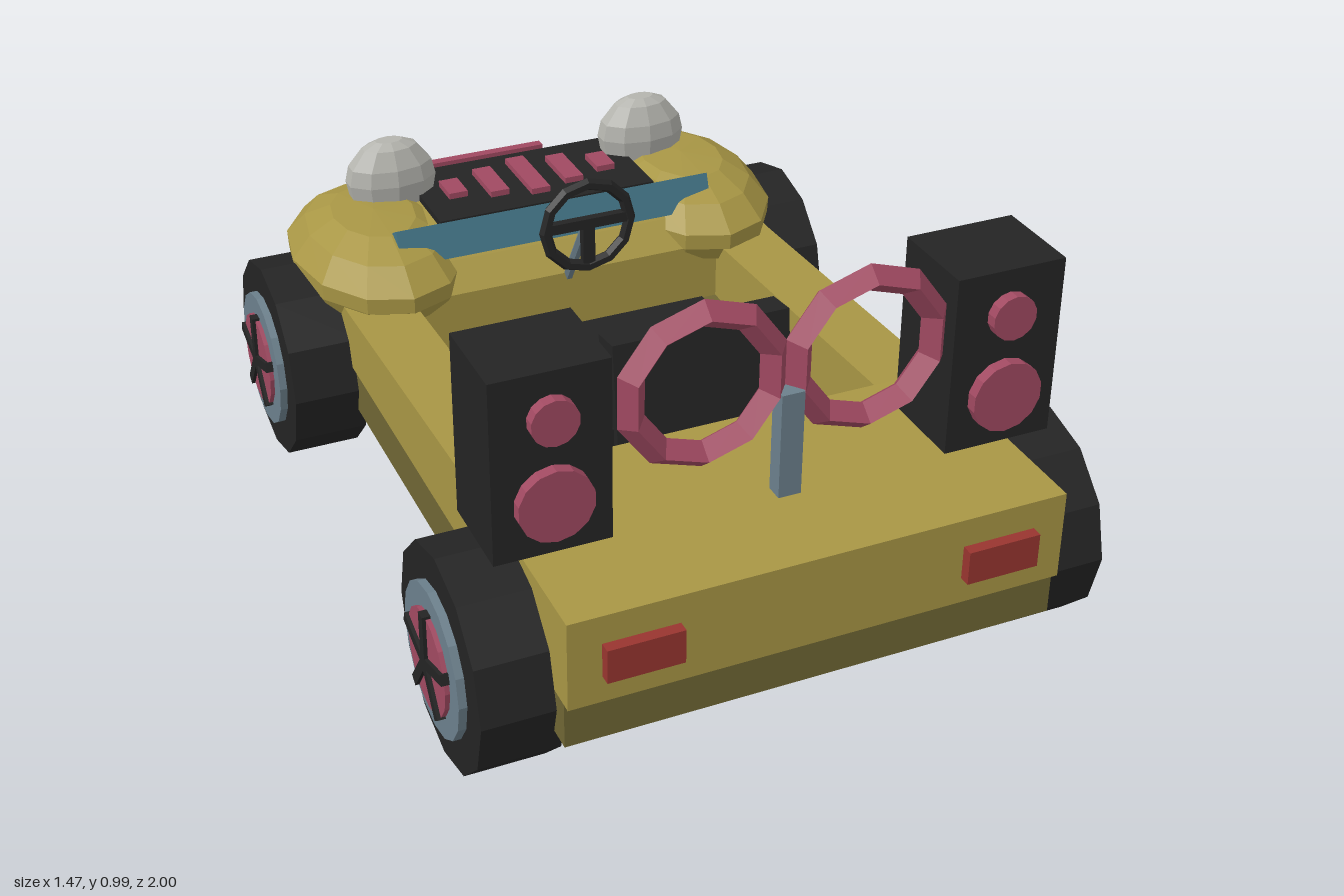
import * as THREE from 'three';

const mat = (name, color) => {
  const m = new THREE.MeshStandardMaterial({ color, flatShading: true });
  m.name = name;
  return m;
};

export function createModel() {
  const M = {
    body: mat('mustard paint', 0xa89645),
    olive: mat('dark olive', 0x6f6634),
    black: mat('black', 0x242424),
    pink: mat('rose pink', 0xa04961),
    slate: mat('slate metal', 0x6c808c),
    teal: mat('teal', 0x447688),
    grey: mat('light grey', 0xb4b4ae),
    red: mat('tail red', 0x98352f),
    green: mat('lamp green', 0x48941e),
  };
  const car = new THREE.Group();
  car.name = 'buggy';

  const add = (name, geo, m, x = 0, y = 0, z = 0, parent = car) => {
    const mesh = new THREE.Mesh(geo, m);
    mesh.name = name;
    mesh.position.set(x, y, z);
    parent.add(mesh);
    return mesh;
  };
  // box given by its limits on each axis
  const box = (name, m, x0, x1, y0, y1, z0, z1) =>
    add(name, new THREE.BoxGeometry(x1 - x0, y1 - y0, z1 - z0), m,
      (x0 + x1) / 2, (y0 + y1) / 2, (z0 + z1) / 2);
  // side profile of [z, y] points, extruded from x0 to x1
  const prism = (name, m, pts, x0, x1) => {
    const shape = new THREE.Shape(pts.map(p => new THREE.Vector2(p[0], p[1])));
    const geo = new THREE.ExtrudeGeometry(shape, { depth: x1 - x0, bevelEnabled: false });
    geo.rotateY(-Math.PI / 2);
    return add(name, geo, m, x1);
  };

  // chassis and body shell
  box('chassis', M.olive, -0.545, 0.545, 0.18, 0.3, -0.88, 0.955);
  box('rearDeck', M.body, -0.545, 0.545, 0.285, 0.488, 0.45, 0.975);
  prism('nose', M.body, [[-0.36, 0.295], [-0.36, 0.45], [-0.42, 0.51], [-0.49, 0.565],
    [-0.78, 0.565], [-0.93, 0.455], [-0.972, 0.295]], -0.42, 0.42);
  for (const s of [-1, 1]) {
    const [a, b] = s < 0 ? [-0.552, -0.395] : [0.395, 0.552];
    prism('sideRail', M.body, [[0.46, 0.3], [0.46, 0.485], [-0.38, 0.447], [-0.87, 0.445], [-0.87, 0.3]], a, b);
  }

  // faceted front fenders
  const fenderProfile = [[0, -0.04], [0.9, -0.04], [0.99, 0], [1, 0.04], [0.78, 0.095], [0.48, 0.13], [0, 0.137]]
    .map(p => new THREE.Vector2(p[0], p[1]));
  for (const s of [-1, 1]) {
    add('fender', new THREE.LatheGeometry(fenderProfile, 12), M.body, s * 0.41, 0.45, -0.615).scale.set(0.207, 1, 0.305);
  }

  // hood grille with rose slats
  box('grille', M.black, -0.28, 0.28, 0.54, 0.582, -0.78, -0.49);
  [0.08, 0.14, 0.19, 0.14, 0.08].forEach((len, i) => {
    const x = (i - 2) * 0.098;
    box('grilleSlat', M.pink, x - 0.024, x + 0.024, 0.575, 0.597, -0.635 - len / 2, -0.635 + len / 2);
  });

  // low windscreen strip
  prism('windscreen', M.teal, [[-0.475, 0.52], [-0.475, 0.585], [-0.445, 0.602], [-0.415, 0.52]], -0.405, 0.405);

  // domed headlights with dark lenses
  for (const s of [-1, 1]) {
    const dome = new THREE.LatheGeometry([[0.9, -0.06], [1, 0], [0.92, 0.04], [0.6, 0.085], [0.3, 0.1], [0, 0.1]]
      .map(p => new THREE.Vector2(p[0], p[1])), 10);
    add('headlight', dome, M.grey, s * 0.335, 0.62, -0.7).scale.set(0.115, 1, 0.068);
    const lens = new THREE.CylinderGeometry(0.046, 0.046, 0.05, 8).rotateX(Math.PI / 2);
    add('headlightLens', lens, M.black, s * 0.335, 0.622, -0.753);
  }

  // bumper, badge bar and lamps
  box('bumper', M.slate, -0.562, 0.562, 0.223, 0.3, -1, -0.92);
  box('noseBar', M.pink, -0.167, 0.167, 0.455, 0.5, -0.99, -0.965);
  for (const s of [-1, 1]) {
    add('frontLamp', new THREE.BoxGeometry(0.165, 0.07, 0.06), M.green, s * 0.383, 0.385, -0.97);
    add('tailLamp', new THREE.BoxGeometry(0.163, 0.077, 0.03), M.red, s * 0.392, 0.385, 0.985);
  }

  // seat
  box('seatBase', M.black, -0.21, 0.21, 0.3, 0.495, -0.05, 0.4);
  const back = new THREE.Group();
  back.name = 'seatBack';
  back.position.set(0, 0.57, 0.37);
  back.rotation.x = -0.12;
  car.add(back);
  add('backrest', new THREE.BoxGeometry(0.41, 0.24, 0.075), M.black, 0, 0, 0, back);
  add('backrestPanel', new THREE.BoxGeometry(0.31, 0.17, 0.02), M.olive, 0, 0.01, -0.043, back);

  // steering wheel and column
  add('steeringRim', new THREE.TorusGeometry(0.107, 0.015, 6, 12), M.black, 0, 0.635, -0.24);
  box('steeringCrossbar', M.black, -0.105, 0.105, 0.63, 0.655, -0.25, -0.23);
  box('steeringSpoke', M.black, -0.015, 0.015, 0.53, 0.64, -0.25, -0.23);
  const column = new THREE.LineCurve3(new THREE.Vector3(0, 0.635, -0.245), new THREE.Vector3(0, 0.42, -0.38));
  add('steeringColumn', new THREE.TubeGeometry(column, 1, 0.013, 6), M.slate);

  // loudspeakers on the rear deck, and twin hoops on a post
  for (const s of [-1, 1]) {
    add('speakerBox', new THREE.BoxGeometry(0.247, 0.405, 0.205), M.black, s * 0.494, 0.7175, 0.682);
    for (const [y, r] of [[0.635, 0.08], [0.82, 0.05]]) {
      const cone = new THREE.CylinderGeometry(r, r, 0.03, 14).rotateX(Math.PI / 2);
      add('speakerCone', cone, M.pink, s * 0.494, y, 0.795);
    }
    const hoop = new THREE.TorusGeometry(0.157, 0.03, 4, 10).rotateZ(Math.PI / 10);
    add('hoop', hoop, M.pink, s * 0.177, 0.807, 0.77).scale.z = 1.22;
  }
  box('hoopPost', M.slate, -0.025, 0.025, 0.528, 0.765, 0.77, 0.81);

  // wheels: tyre, rim, hub disc and five spokes, axis along x
  const disc = (r, w, n) => new THREE.CylinderGeometry(r, r, w, n).rotateX(Math.PI / 2).rotateY(Math.PI / 2);
  for (const s of [-1, 1]) for (const z of [0.675, -0.605]) {
    const wheel = new THREE.Group();
    wheel.name = 'wheel';
    wheel.position.set(s * 0.6125, 0.242, z);
    car.add(wheel);
    add('tyre', disc(0.242, 0.175, 12), M.black, 0, 0, 0, wheel);
    add('rim', disc(0.165, 0.03, 16), M.slate, s * 0.09, 0, 0, wheel);
    add('hub', disc(0.114, 0.03, 16), M.pink, s * 0.1, 0, 0, wheel);
    for (let i = 0; i < 5; i++) {
      const spoke = new THREE.BoxGeometry(0.02, 0.12, 0.024).translate(0, 0.058, 0);
      add('spoke', spoke, M.black, s * 0.113, 0, 0, wheel).rotation.x = i * Math.PI * 0.4;
    }
  }
  return car;
}
